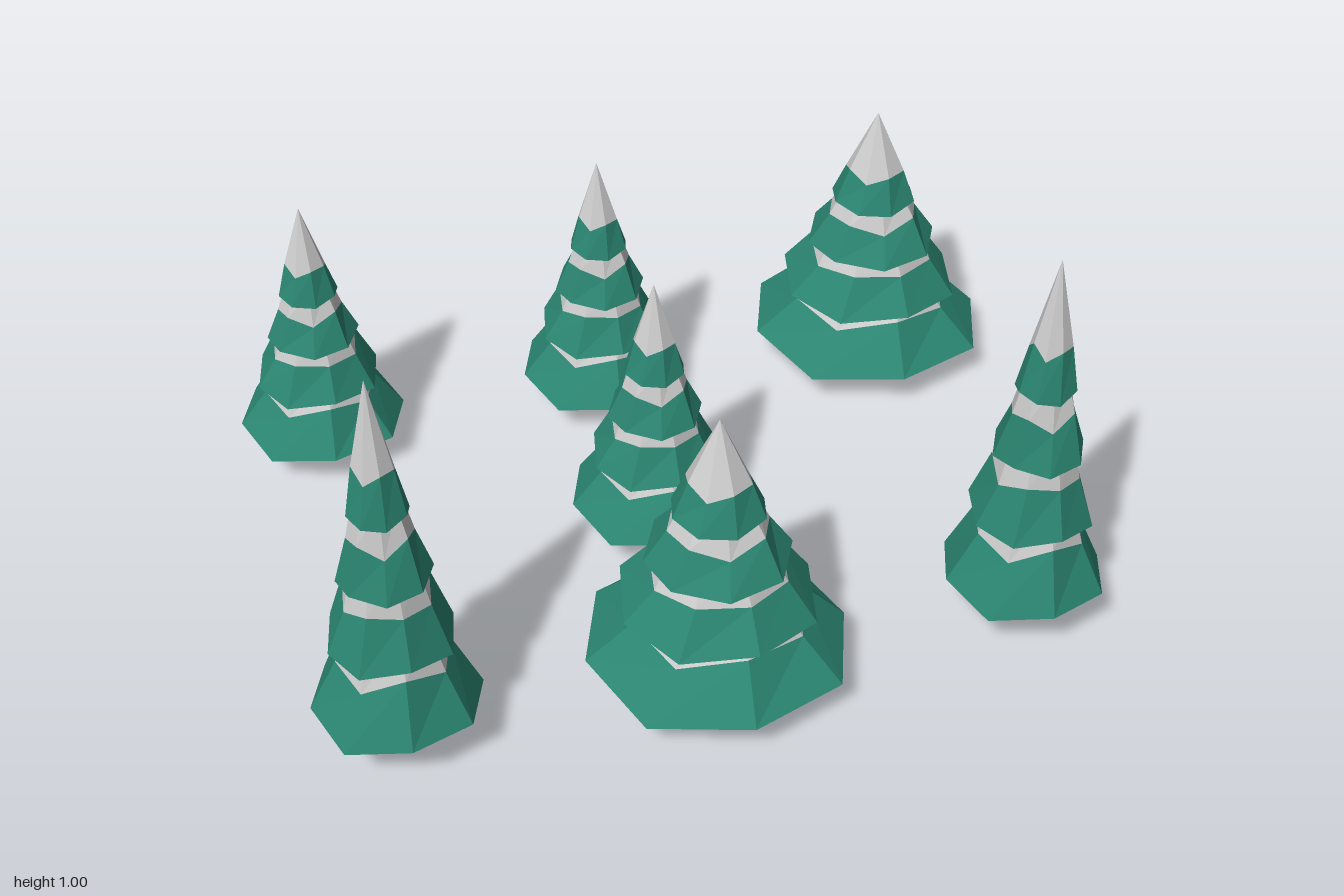
import * as THREE from 'three';

const SIDES = 8;
const green = new THREE.MeshStandardMaterial({ color: 0x2b8571, flatShading: true });
const snow = new THREE.MeshStandardMaterial({ color: 0xcccccc, flatShading: true });
const bark = new THREE.MeshStandardMaterial({ color: 0x6b4a30, flatShading: true });

// Tiers from the bottom up: [rim radius, rim y], [snow line radius, y], [top radius, y]
const TIERS = [
  [[0.207, 0.09], [0.137, 0.188], [0.1, 0.26]],
  [[0.153, 0.222], [0.106, 0.312], [0.078, 0.385]],
  [[0.113, 0.35], [0.078, 0.43], [0.054, 0.5]],
  [[0.073, 0.472], [0.05, 0.555], [0, 0.715]],
];

// Slightly uneven octagon ring; wobble shifts its corners up and down
function ring([radius, y], twist, wobble, phase) {
  return Array.from({ length: SIDES }, (_, k) => {
    const a = (k / SIDES) * Math.PI * 2 + twist;
    const r = radius * (k % 2 ? 1.04 : 1);
    const dy = wobble * Math.sin(k * 2.3 + phase);
    return [r * Math.sin(a), y + dy, r * Math.cos(a)];
  });
}

// Skin a stack of rings, lowest first
function loft(rings) {
  const index = [];
  for (let i = 0; i < rings.length - 1; i++) {
    for (let k = 0; k < SIDES; k++) {
      const n = (k + 1) % SIDES;
      const a = i * SIDES + k, b = i * SIDES + n;
      index.push(a, b, b + SIDES, a, b + SIDES, a + SIDES);
    }
  }
  const geo = new THREE.BufferGeometry();
  geo.setAttribute('position', new THREE.Float32BufferAttribute(rings.flat(2), 3));
  geo.setIndex(index);
  const flat = geo.toNonIndexed();
  flat.computeVertexNormals();
  return flat;
}

function part(name, geometry, material) {
  const mesh = new THREE.Mesh(geometry, material);
  mesh.name = name;
  return mesh;
}

// Shared geometry: each tier is a green skirt with a snow cap
const trunkGeo = new THREE.CylinderGeometry(0.018, 0.018, 0.12, 8).translate(0, 0.06, 0);
const tierGeos = TIERS.map(([rim, line, top], i) => {
  const twist = [0, 0.14, -0.12, 0.1][i];
  const phase = i * 1.7 + 0.6;
  const rimRing = ring(rim, twist, 0.008, phase);
  const lineRing = ring(line, twist + 0.06, 0.014, phase + 1);
  const topRing = ring(top, twist + 0.06, 0, 0);
  const centre = ring([0, rim[1] + 0.008], 0, 0, 0);
  return { skirt: loft([centre, rimRing, lineRing]), cap: loft([lineRing, topRing]) };
});

function makeTree(name, x, z, [sx, sy, sz]) {
  const tree = new THREE.Group();
  tree.name = name;
  tree.add(part('trunk', trunkGeo, bark));
  tierGeos.forEach(({ skirt, cap }, i) => {
    tree.add(part(`branchTier${i + 1}`, skirt, green));
    tree.add(part(`snowCap${i + 1}`, cap, snow));
  });
  tree.position.set(x, 0, z);
  tree.scale.set(sx, sy, sz);
  return tree;
}

export function createModel() {
  const small = [1, 1, 1], wide = [1.48, 1.02, 1.45], tall = [0.92, 1.4, 0.89];
  const group = new THREE.Group();
  group.name = 'snowyPineTrees';
  group.add(
    makeTree('smallTreeBackRight', -0.79, -0.52, small),
    makeTree('smallTreeBack', -0.055, -0.52, small),
    makeTree('smallTreeMiddle', -0.055, 0.01, small),
    makeTree('wideTreeBackLeft', 0.685, -0.53, wide),
    makeTree('wideTreeFront', -0.055, 0.53, wide),
    makeTree('tallTreeFrontRight', -0.785, 0.54, tall),
    makeTree('tallTreeFrontLeft', 0.685, 0.54, tall),
  );
  return group;
}
